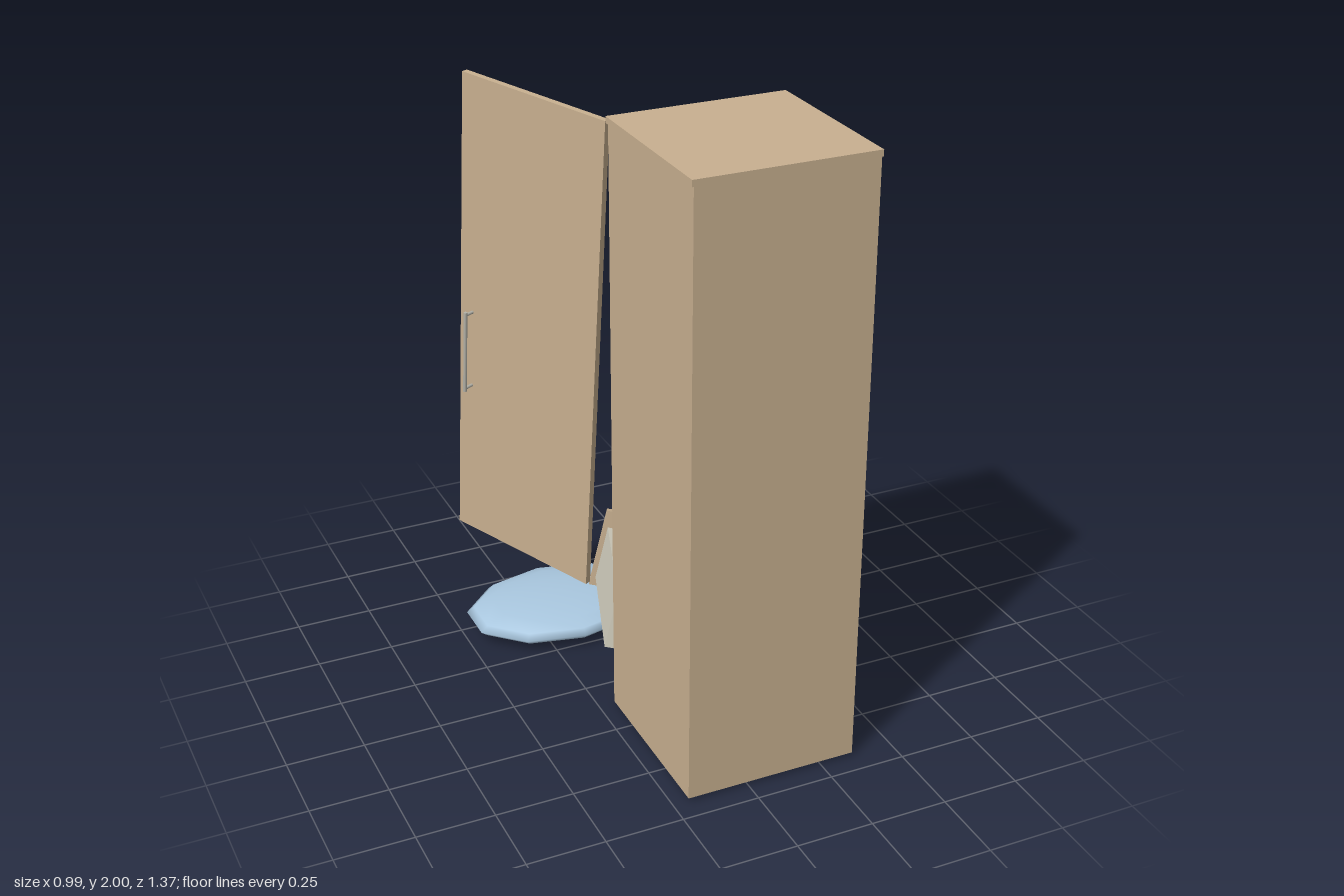
import * as THREE from 'three';

const mat = (name, color, side = THREE.FrontSide) => {
  const m = new THREE.MeshStandardMaterial({ color, side });
  m.name = name;
  return m;
};

export function createModel() {
  const wood = mat('wood', 0xc8b090);
  const blue = mat('blue cloth', 0xaac8e0);
  const cream = mat('drawer cream', 0xd2cebe);
  const metal = mat('handle grey', 0xb4b2a8);
  const root = new THREE.Group();
  root.name = 'wardrobe';

  const add = (parent, name, geo, material) => {
    const m = new THREE.Mesh(geo, material);
    m.name = name;
    parent.add(m);
    return m;
  };
  // Box given by its minimum and maximum corners
  const box = (parent, name, material, [x0, y0, z0], [x1, y1, z1]) => {
    const g = new THREE.BoxGeometry(x1 - x0, y1 - y0, z1 - z0);
    g.translate((x0 + x1) / 2, (y0 + y1) / 2, (z0 + z1) / 2);
    return add(parent, name, g, material);
  };
  // Round bar between two points
  const bar = (parent, name, material, a, b, r) => {
    const path = new THREE.LineCurve3(new THREE.Vector3(...a), new THREE.Vector3(...b));
    const d = path.getPoint(1).sub(path.getPoint(0));
    const m = add(parent, name, new THREE.CylinderGeometry(r, r, d.length(), 10), material);
    m.position.copy(path.getPoint(0.5));
    m.quaternion.setFromUnitVectors(new THREE.Vector3(0, 1, 0), d.normalize());
    return m;
  };
  // Group with its own tilted axes
  const frame = (name, origin, xDir, yDir) => {
    const x = new THREE.Vector3(...xDir).normalize();
    const z = new THREE.Vector3().crossVectors(x, new THREE.Vector3(...yDir)).normalize();
    const y = new THREE.Vector3().crossVectors(z, x);
    const g = new THREE.Group();
    g.name = name;
    g.quaternion.setFromRotationMatrix(new THREE.Matrix4().makeBasis(x, y, z));
    g.position.set(...origin);
    root.add(g);
    return g;
  };

  // Cabinet carcass, open towards -z
  const L = -0.2, R = 0.36, F = 0.12, B = 0.68, t = 0.018;
  const cabinet = new THREE.Group();
  cabinet.name = 'cabinet';
  root.add(cabinet);
  box(cabinet, 'rightSide', wood, [L, 0.012, F], [L + t, 1.96, B]);
  box(cabinet, 'leftSide', wood, [R - t, 0.012, F], [R, 1.96, B]);
  box(cabinet, 'backPanel', wood, [L + t, 0.012, B - t], [R - t, 1.96, B]);
  box(cabinet, 'topPanel', wood, [L - 0.005, 1.96, F - 0.007], [R + 0.005, 1.98, B]);
  box(cabinet, 'topRail', wood, [L + t, 1.93, F + 0.01], [R - t, 1.96, F + 0.03]);
  box(cabinet, 'shelf', wood, [L + t, 0.355, F], [R - t, 0.375, B - t]);
  box(cabinet, 'floorPanel', wood, [L + t, 0.06, F], [R - t, 0.078, B - t]);
  box(cabinet, 'plinth', wood, [L + t, 0.012, F + 0.006], [R - t, 0.06, F + 0.02]);
  box(cabinet, 'plinthCover', blue, [L + t, 0.018, F], [R - t, 0.058, F + 0.006]);
  bar(cabinet, 'clothesRail', metal, [L + t, 1.77, 0.385], [R - t, 1.77, 0.385], 0.01);

  // Loose door, swung out and leaning
  const door = frame('door', [-0.2, 1.96, 0.1], [-0.25, 0.04, -0.49], [0.04, 1.57, 0.11]);
  box(door, 'doorPanel', wood, [0, -1.573, 0], [0.55, 0, 0.02]);
  bar(door, 'doorHandle', metal, [0.5, -1.05, -0.032], [0.5, -0.77, -0.032], 0.006);
  for (const y of [-1.04, -0.78]) bar(door, 'doorHandlePost', metal, [0.5, y, 0], [0.5, y, -0.032], 0.005);

  // Crooked drawer sliding out of the lower bay
  const drawer = frame('drawer', [0.18, 0.0775, -0.3], [0.5, -0.13, 0.19], [0.25, 0.968, 0]);
  const w = 0.26, lo = 0.03, hi = 0.22, z0 = 0.02, z1 = 0.52, d = 0.015;
  box(drawer, 'drawerFront', wood, [-0.275, 0, 0], [0.275, 0.28, z0]);
  for (const s of [-1, 1]) {
    const x = s * (w - d / 2);
    box(drawer, 'drawerSide', cream, [x - d / 2, lo, z0], [x + d / 2, hi, z1]);
  }
  box(drawer, 'drawerInnerFront', cream, [-w + d, lo, z0], [w - d, hi, z0 + d]);
  box(drawer, 'drawerBack', cream, [-w + d, lo, z1 - d], [w - d, hi, z1]);
  box(drawer, 'drawerBottom', cream, [-w + d, lo, z0 + d], [w - d, lo + d, z1 - d]);
  bar(drawer, 'drawerHandle', metal, [-0.085, 0.155, -0.03], [0.085, 0.155, -0.03], 0.006);
  for (const x of [-0.075, 0.075]) bar(drawer, 'drawerHandlePost', metal, [x, 0.155, 0], [x, 0.155, -0.03], 0.005);

  // Hanging garment: symmetric outline in the z-y plane
  const half = [[0.03, 1.745], [0.24, 1.63], [0.235, 1.54], [0.205, 1.4], [0.155, 1.2], [0.11, 1.04], [0.1, 0.94], [0.1, 0.85]];
  const outline = [...half, ...half.map(([z, y]) => [-z, y]).reverse()];
  const shape = new THREE.Shape(outline.map(([z, y]) => new THREE.Vector2(z, y)));
  const coat = new THREE.ExtrudeGeometry(shape, { depth: 0.036, bevelEnabled: false });
  coat.translate(0, 0, -0.018);
  const garment = add(root, 'garment', coat, blue);
  garment.rotation.y = Math.PI / 2;
  garment.position.set(0.11, 0, 0.385);
  const hook = add(root, 'hangerHook', new THREE.TorusGeometry(0.017, 0.004, 6, 14), metal);
  hook.rotation.y = Math.PI / 2;
  hook.position.set(0.11, 1.765, 0.385);

  // Bundle of cloth lying on the ground
  const bundleGeo = new THREE.SphereGeometry(1, 10, 8, Math.PI / 2);
  bundleGeo.scale(0.33, 0.05, 0.232);
  const bundle = add(root, 'clothBundle', bundleGeo, blue);
  bundle.position.set(-0.155, 0.05, -0.453);

  return root;
}
